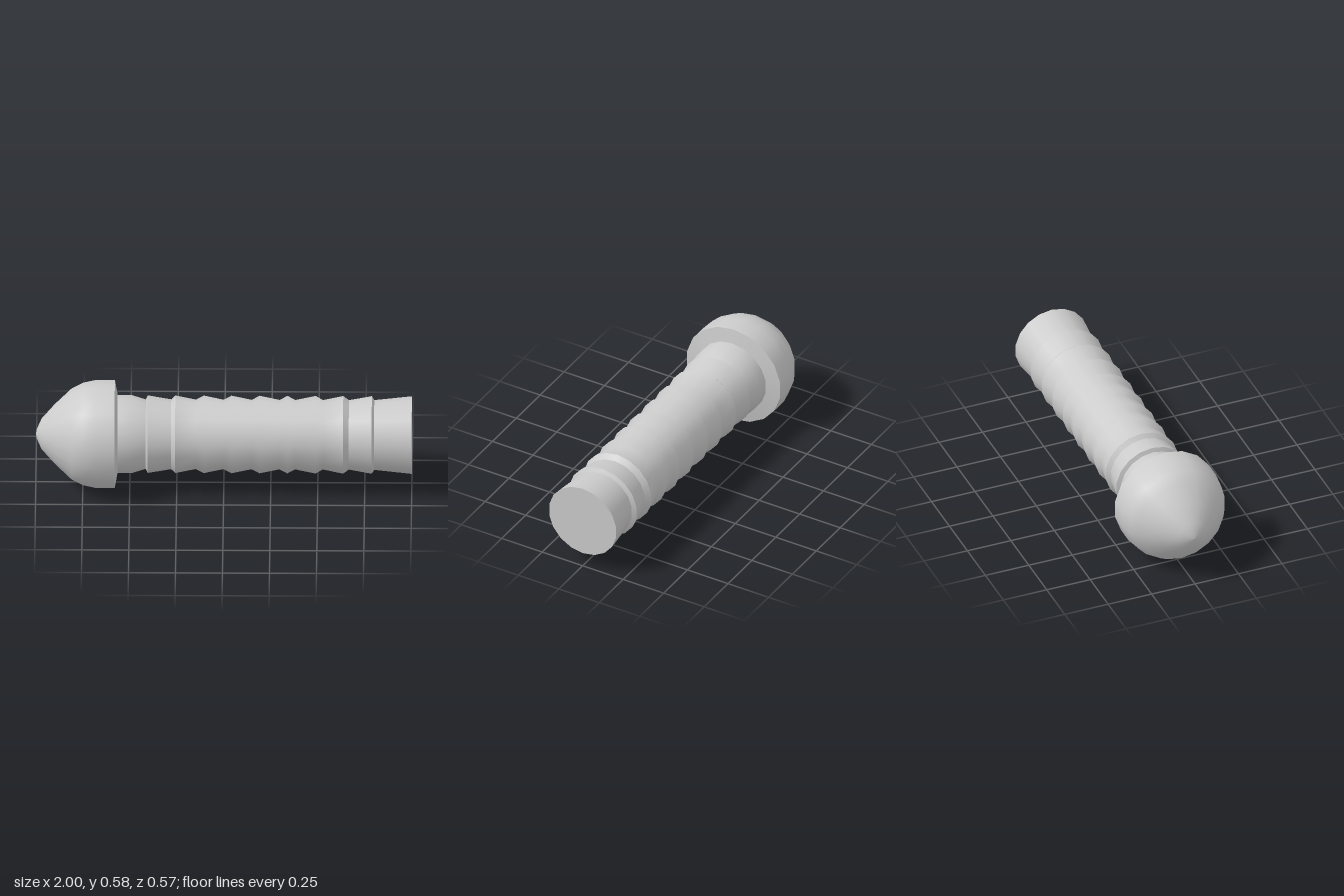
import * as THREE from 'three';

const SIDES = 18;
const AXIS_Y = 0.293;

export function createModel() {
  const group = new THREE.Group();
  const material = new THREE.MeshStandardMaterial({ color: 0xcccccc });

  // Turned section about the x axis; profile is [x, radius] from nose to tail.
  // Every section is smooth inside and leaves a sharp edge at its ends.
  function turned(name, profile) {
    const points = profile.map(([x, r]) => new THREE.Vector2(r, x));
    const geometry = new THREE.LatheGeometry(points, SIDES, Math.PI / 2);
    geometry.rotateZ(-Math.PI / 2);
    const mesh = new THREE.Mesh(geometry, material);
    mesh.name = name;
    mesh.position.y = AXIS_Y;
    group.add(mesh);
  }

  // Domed head with its flat, slightly slanted back
  turned('head', [[-1, 0], [-0.995, 0.025], [-0.97, 0.082], [-0.9, 0.16], [-0.81, 0.245],
    [-0.75, 0.276], [-0.68, 0.291], [-0.58, 0.291]]);
  turned('headBack', [[-0.58, 0.291], [-0.565, 0.21]]);

  // Neck and collar next to the head
  turned('neck', [[-0.565, 0.21], [-0.49, 0.21], [-0.415, 0.187]]);
  turned('neckStep', [[-0.415, 0.187], [-0.405, 0.209]]);
  turned('frontCollar', [[-0.405, 0.209], [-0.28, 0.188]]);
  turned('frontCollarStep', [[-0.28, 0.188], [-0.258, 0.209]]);

  // Ribbed grip: the ribs lean towards the middle from both ends
  const grip = [[-0.258, 0.209]];
  const crests = [-0.107, 0.04, 0.19, 0.338, 0.488, 0.635];
  crests.forEach((x, i) => {
    const valley = i < 4 ? x - 0.042 : x - 0.108;
    grip.push([valley, 0.187], [x, 0.209]);
  });
  turned('grip', grip);

  // Rear collar and flared tail
  turned('rearCollarStep', [[0.635, 0.209], [0.665, 0.187]]);
  turned('rearCollar', [[0.665, 0.187], [0.787, 0.209]]);
  turned('tailStep', [[0.787, 0.209], [0.8, 0.188]]);
  turned('tail', [[0.8, 0.188], [1, 0.209]]);
  turned('endCap', [[1, 0.209], [1, 0]]);

  return group;
}
